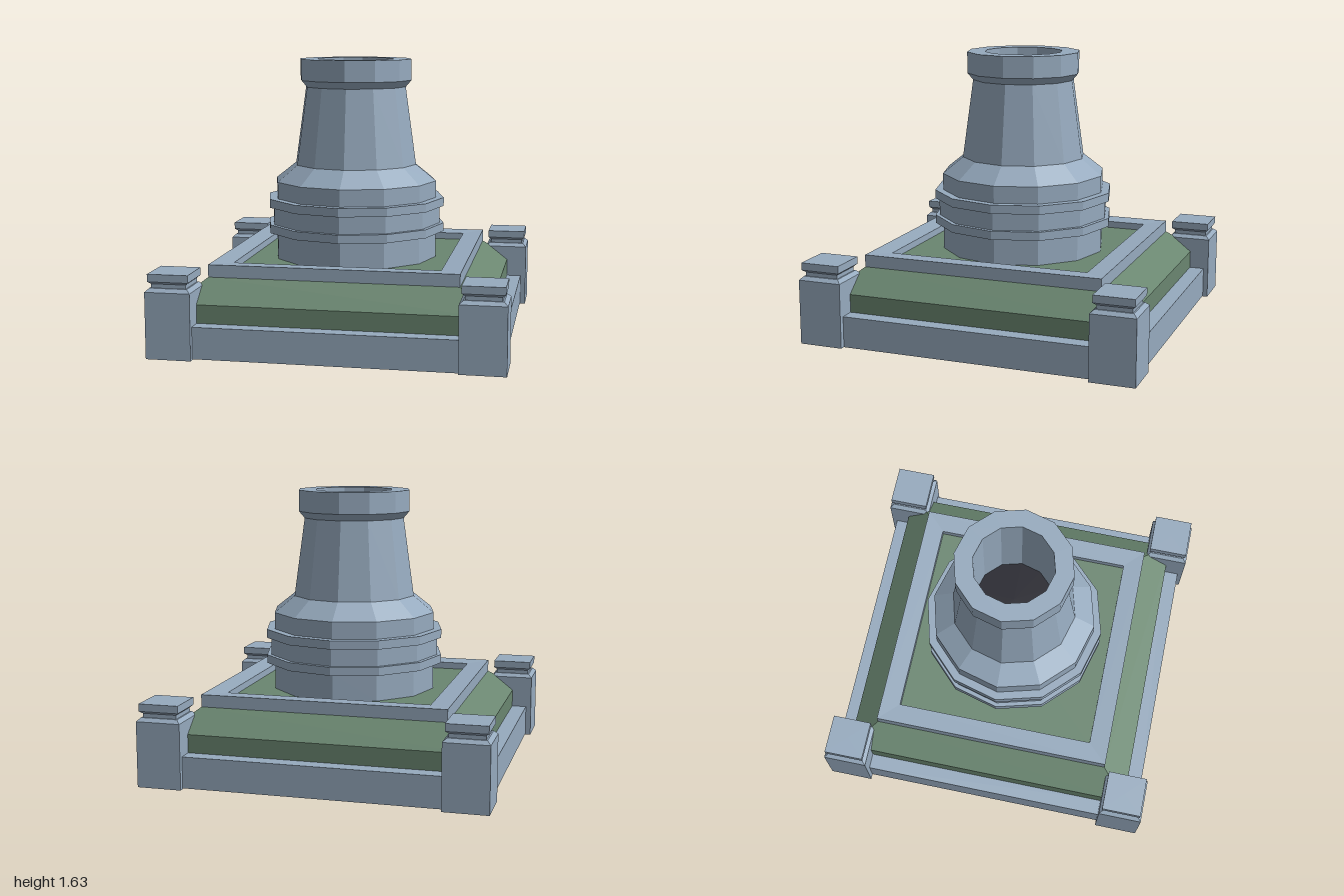
import * as THREE from 'three';

const stone = new THREE.MeshStandardMaterial({ color: 0x96aabe, side: THREE.DoubleSide });
const moss = new THREE.MeshStandardMaterial({ color: 0x6a8670, side: THREE.DoubleSide });
const darkHollow = new THREE.MeshStandardMaterial({ color: 0x1b1b26 });

// Faceted lathe: profile is [radius, height] pairs running up the outside
function turned(profile, sides, phi = 0, scale = 1) {
  const pts = profile.map(([r, y]) => new THREE.Vector2(r * scale, y));
  const geo = new THREE.LatheGeometry(pts, sides, phi).toNonIndexed();
  geo.computeVertexNormals();
  return geo;
}

// Square version: the profile gives half widths
const square = (profile) => turned(profile, 4, Math.PI / 4, Math.SQRT2);

function add(parent, name, geo, mat, x = 0, y = 0, z = 0) {
  const mesh = new THREE.Mesh(geo, mat);
  mesh.name = name;
  mesh.position.set(x, y, z);
  parent.add(mesh);
  return mesh;
}

const flat = (w, d) => new THREE.PlaneGeometry(w, d).rotateX(-Math.PI / 2);

export function createModel() {
  const model = new THREE.Group();
  model.name = 'towerOnPlinth';

  // Low outer wall, ledge, upright green band and underside strip on each side
  for (let i = 0; i < 4; i++) {
    const side = new THREE.Group();
    side.name = 'plinthSide';
    side.rotation.y = i * Math.PI / 2;
    add(side, 'outerWall', new THREE.PlaneGeometry(1.48, 0.182), stone, 0, 0.096, 0.968);
    add(side, 'ledge', flat(1.48, 0.09), stone, 0, 0.187, 0.923);
    add(side, 'greenBand', new THREE.PlaneGeometry(1.48, 0.163), moss, 0, 0.2115, 0.878);
    add(side, 'undersideStrip', flat(1.48, 0.138), stone, 0, 0.177, 0.809);
    model.add(side);
  }
  add(model, 'underside', flat(1.48, 1.48), stone, 0, 0.177, 0);

  // Sloping bank, raised rim and sunken green floor
  add(model, 'greenSlope', square([[0.878, 0.293], [0.718, 0.418]]), moss);
  add(model, 'rim', square([[0.718, 0.418], [0.718, 0.49], [0.6, 0.483], [0.6, 0.443]]), stone);
  add(model, 'greenFloor', flat(1.2, 1.2), moss, 0, 0.443, 0);

  // Corner posts, open underneath
  const post = square([
    [0.13, 0], [0.13, 0.38], [0.108, 0.4], [0.1, 0.4], [0.1, 0.423],
    [0.117, 0.437], [0.117, 0.48], [0, 0.48],
  ]);
  for (const x of [-1, 1]) for (const z of [-1, 1]) {
    add(model, 'cornerPost', post, stone, x * 0.87, x > 0 && z > 0 ? 0.006 : 0, z * 0.867);
  }

  // Twelve-sided tower with two bands, shoulder, taper and hollow lip
  add(model, 'tower', turned([
    [0.492, 0.443], [0.492, 0.602], [0.54, 0.602], [0.54, 0.652], [0.515, 0.652],
    [0.515, 0.755], [0.54, 0.755], [0.54, 0.806], [0.492, 0.806], [0.492, 0.906],
    [0.37, 1.003], [0.305, 1.468], [0.339, 1.508], [0.339, 1.634],
    [0.232, 1.634], [0.232, 1.1],
  ], 12), stone);
  add(model, 'towerHollow', new THREE.CircleGeometry(0.232, 12).rotateX(-Math.PI / 2),
    darkHollow, 0, 1.1, 0);

  return model;
}
